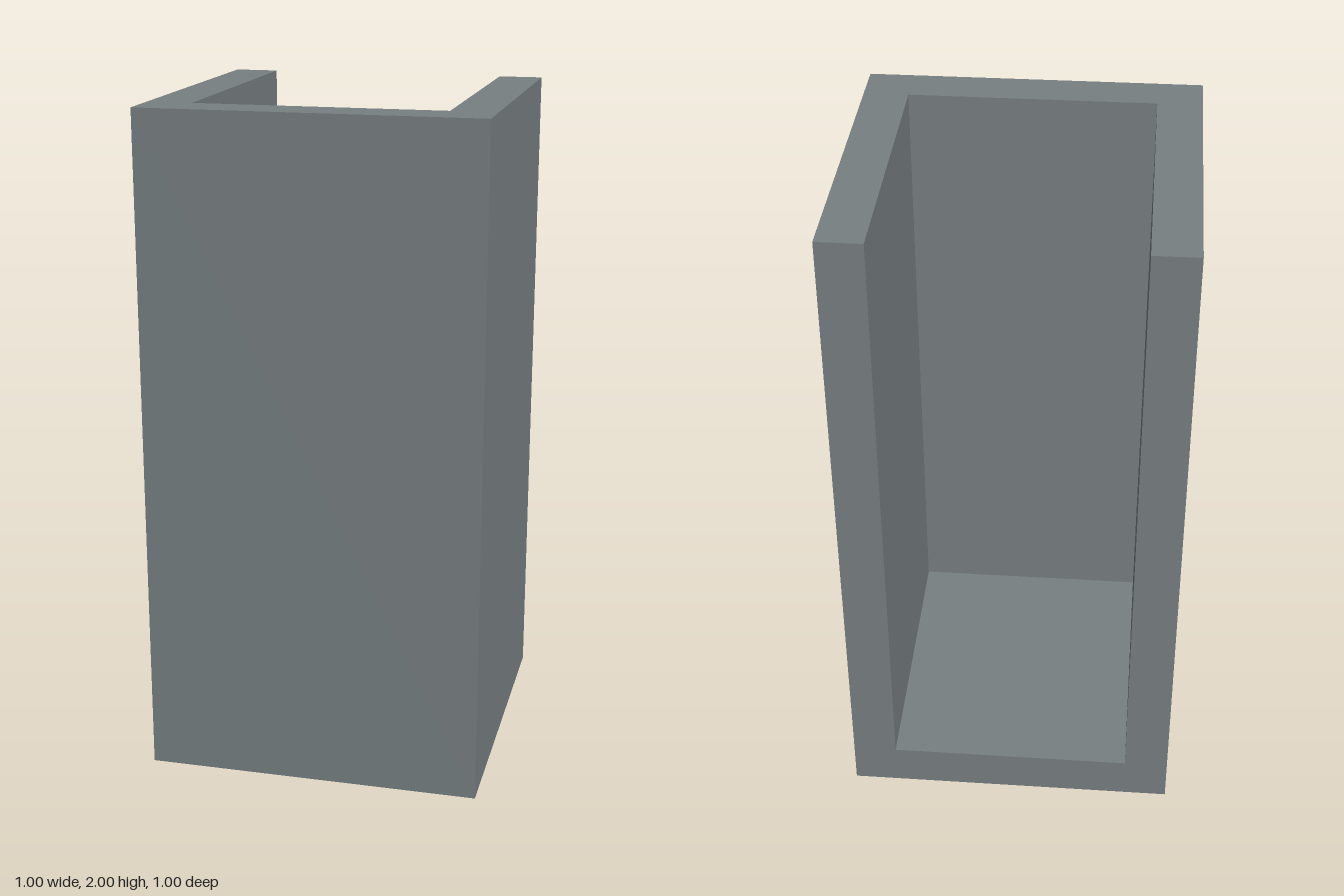
import * as THREE from 'three';

const HALF = 0.5;       // half of the square footprint
const WALL = 0.133;     // wall and floor thickness
const HEIGHT = 2;
const INNER = HALF - WALL;

export function createModel() {
  const group = new THREE.Group();
  group.name = 'openBackedBox';
  const material = new THREE.MeshStandardMaterial({ color: 0x788082 });

  // U-shaped wall plan, open at the back (shape +y becomes -z)
  const plan = new THREE.Shape([
    [-HALF, -HALF], [HALF, -HALF], [HALF, HALF], [INNER, HALF],
    [INNER, -INNER], [-INNER, -INNER], [-INNER, HALF], [-HALF, HALF],
  ].map(([x, y]) => new THREE.Vector2(x, y)));
  const wallGeometry = new THREE.ExtrudeGeometry(plan, { depth: HEIGHT, bevelEnabled: false });
  wallGeometry.rotateX(-Math.PI / 2);
  const walls = new THREE.Mesh(wallGeometry, material);
  walls.name = 'walls';
  group.add(walls);

  // Floor slab between the walls, flush with the open back
  const floor = new THREE.Mesh(new THREE.BoxGeometry(2 * INNER, WALL, HALF + INNER), material);
  floor.name = 'floor';
  floor.position.set(0, WALL / 2, (INNER - HALF) / 2);
  group.add(floor);

  return group;
}
